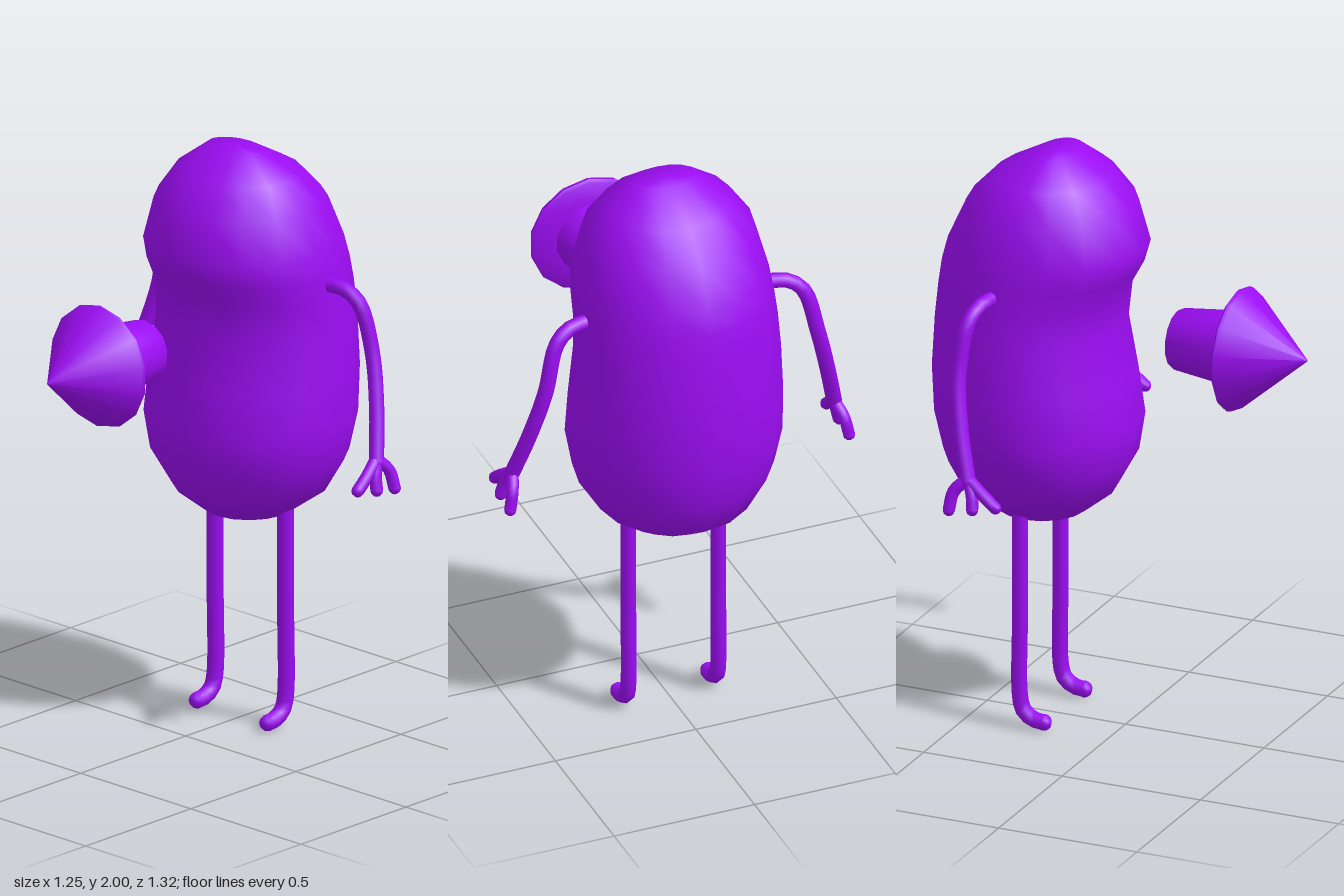
import * as THREE from 'three';
import { mergeGeometries, mergeVertices, toCreasedNormals } from 'three/addons/utils/BufferGeometryUtils.js';

const material = new THREE.MeshStandardMaterial({ color: 0x9b0df2 });

function addMesh(parent, name, geometry) {
  const mesh = new THREE.Mesh(geometry, material);
  mesh.name = name;
  parent.add(mesh);
  return mesh;
}

// Round limb along a smooth path, with rounded ends
function limb(points, radius, segments) {
  const path = points.map((p) => new THREE.Vector3(...p));
  const parts = [new THREE.TubeGeometry(new THREE.CatmullRomCurve3(path), segments, radius, 8)];
  for (const end of [path[0], path[path.length - 1]]) {
    parts.push(new THREE.SphereGeometry(radius, 8, 6).translate(end.x, end.y, end.z));
  }
  return mergeGeometries(parts);
}

// Bean-shaped body from oval rings: [height, half width, front z, back z]
function bodyGeometry() {
  const rings = [
    [2.0, 0, -0.24, -0.24],
    [1.998, 0.11, -0.17, -0.31],
    [1.92, 0.22, -0.06, -0.45],
    [1.82, 0.29, 0.02, -0.545],
    [1.68, 0.325, 0.06, -0.61],
    [1.6, 0.335, 0.035, -0.63],
    [1.52, 0.34, -0.01, -0.64],
    [1.4, 0.347, -0.025, -0.652],
    [1.22, 0.357, 0.01, -0.663],
    [1.06, 0.36, 0.035, -0.655],
    [0.93, 0.335, 0.015, -0.625],
    [0.81, 0.26, -0.05, -0.57],
    [0.73, 0.15, -0.15, -0.45],
    [0.695, 0, -0.29, -0.29],
  ];
  const n = 16;
  const positions = [];
  const index = [];
  rings.forEach(([y, w, front, back], i) => {
    for (let j = 0; j < n; j++) {
      const a = (j / n) * Math.PI * 2;
      positions.push(w * Math.sin(a), y, (front + back) / 2 + ((front - back) / 2) * Math.cos(a));
      if (i === rings.length - 1) continue;
      const k = (j + 1) % n;
      const p = i * n + j, q = i * n + k;
      if (i < rings.length - 2) index.push(p, p + n, q + n);
      else index.push(p, p + n, q);
      if (i > 0 && i < rings.length - 2) index.push(p, q + n, q);
    }
  });
  const geometry = new THREE.BufferGeometry();
  geometry.setAttribute('position', new THREE.Float32BufferAttribute(positions, 3));
  geometry.setIndex(index);
  const merged = mergeVertices(geometry);
  merged.computeVertexNormals();
  return merged;
}

// Floating arrow: tapered stem and flared cone, turned to point forward
function arrowGeometry() {
  const profile = [
    [0, 0.185], [0.095, 0.185], [0.103, 0.195], [0.126, 0.39],
    [0.2, 0.4], [0.21, 0.408], [0.207, 0.422], [0, 0.66],
  ].map(([r, z]) => new THREE.Vector2(r, z));
  const lathe = new THREE.LatheGeometry(profile, 14);
  lathe.rotateX(Math.PI / 2).translate(0, 1.4, 0);
  return toCreasedNormals(lathe, 0.7);
}

export function createModel() {
  const model = new THREE.Group();
  model.name = 'beanFigure';
  addMesh(model, 'body', bodyGeometry());
  addMesh(model, 'arrow', arrowGeometry());

  for (const s of [1, -1]) {
    const side = s > 0 ? 'left' : 'right';

    // Leg with a small forward foot
    addMesh(model, side + 'Leg', limb([
      [s * 0.16, 0.76, -0.308], [s * 0.16, 0.4, -0.308], [s * 0.16, 0.11, -0.308],
      [s * 0.16, 0.06, -0.295], [s * 0.16, 0.034, -0.26], [s * 0.16, 0.029, -0.222],
    ], 0.028, 28));

    // Arm and three-fingered hand
    const arm = new THREE.Group();
    arm.name = side + 'Arm';
    model.add(arm);
    addMesh(arm, side + 'UpperLimb', limb([
      [s * 0.32, 1.57, -0.335], [s * 0.39, 1.565, -0.35], [s * 0.44, 1.525, -0.365],
      [s * 0.485, 1.36, -0.38], [s * 0.53, 1.19, -0.353], [s * 0.575, 1.02, -0.305],
    ], 0.026, 20));
    const fingers = [
      [[0.572, 1.03, -0.307], [0.587, 0.985, -0.245], [0.59, 0.95, -0.2]],
      [[0.572, 1.03, -0.307], [0.59, 0.98, -0.285], [0.602, 0.935, -0.278]],
      [[0.572, 1.03, -0.307], [0.59, 0.985, -0.35], [0.603, 0.922, -0.362]],
    ];
    fingers.forEach((points, i) => {
      addMesh(arm, side + 'Finger' + (i + 1), limb(points.map(([x, y, z]) => [s * x, y, z]), 0.021, 8));
    });
  }
  return model;
}
